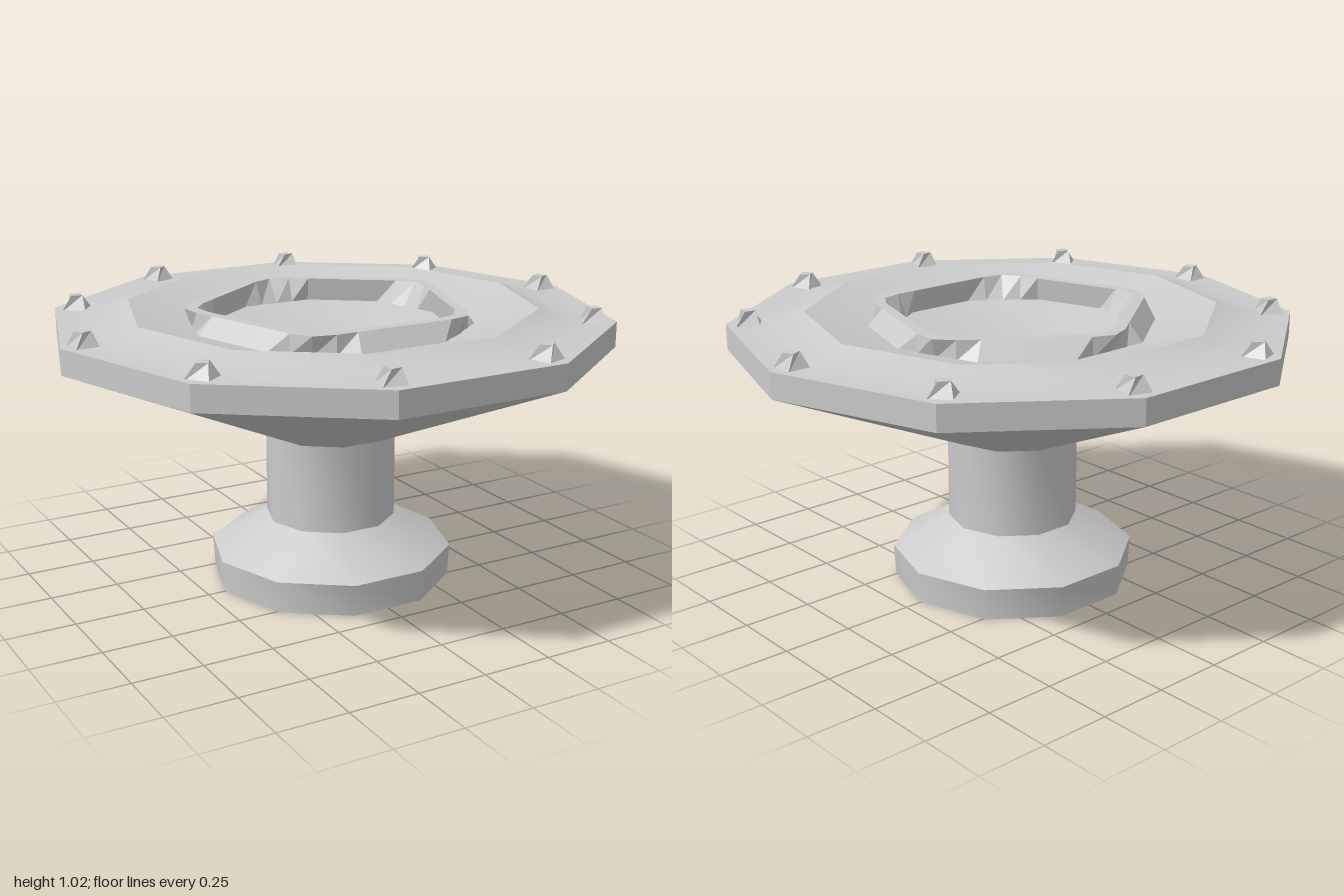
import * as THREE from 'three';
import { toCreasedNormals } from 'three/addons/utils/BufferGeometryUtils.js';

const SIDES = 10;
const smooth = new THREE.MeshStandardMaterial({ color: 0xcccccc, side: THREE.DoubleSide });
const flat = new THREE.MeshStandardMaterial({ color: 0xcccccc, side: THREE.DoubleSide, flatShading: true });

function part(name, geometry, material) {
  const mesh = new THREE.Mesh(geometry, material);
  mesh.name = name;
  return mesh;
}

// Ten-sided turned part with corners on the x axis
function turned(name, profile, creaseAngle) {
  const points = profile.map(([r, y]) => new THREE.Vector2(r, y));
  const geometry = new THREE.LatheGeometry(points, SIDES, Math.PI / 2);
  return part(name, toCreasedNormals(geometry, creaseAngle), smooth);
}

// Distance from the centre to the edge of a regular polygon at an angle
function polygonRadius(angle, sides, apothem, firstCorner) {
  const step = (2 * Math.PI) / sides;
  const a = (((angle - firstCorner) % step) + step) % step;
  return apothem / Math.cos(a - step / 2);
}

// Raised collar: ten-sided at the foot, a blunted pentagon at the top
function collarGeometry() {
  const count = 40;
  const ten = (a, r) => polygonRadius(a, SIDES, r * Math.cos(Math.PI / SIDES), 0);
  const five = (a, apothem, max) => Math.min(max, polygonRadius(a, 5, apothem, -Math.PI / 2));
  const loops = [
    [0.945, a => ten(a, 0.515)],
    [1.015, a => five(a, 0.435, 0.515)],
    [1.015, a => five(a, 0.398, 0.47)],
    [0.93, a => ten(a, 0.43)],
  ];
  const positions = [];
  const indices = [];
  loops.forEach(([y, radius], k) => {
    for (let i = 0; i < count; i++) {
      const a = (i / count) * Math.PI * 2;
      const r = radius(a);
      positions.push(r * Math.cos(a), y, r * Math.sin(a));
      if (k === loops.length - 1) continue;
      const j = (i + 1) % count;
      const p = k * count + i, q = k * count + j;
      indices.push(p, p + count, q, q, p + count, q + count);
    }
  });
  const geometry = new THREE.BufferGeometry();
  geometry.setAttribute('position', new THREE.Float32BufferAttribute(positions, 3));
  geometry.setIndex(indices);
  return geometry;
}

// Small four-sided stud whose top is twisted against its base
function studGeometry() {
  const geometry = new THREE.CylinderGeometry(0.028, 0.064, 0.06, 4);
  geometry.rotateY(Math.PI / 4);
  const pos = geometry.attributes.position;
  const v = new THREE.Vector3();
  const up = new THREE.Vector3(0, 1, 0);
  for (let i = 0; i < pos.count; i++) {
    v.fromBufferAttribute(pos, i);
    if (v.y > 0) v.applyAxisAngle(up, 0.45);
    pos.setXYZ(i, v.x, v.y, v.z);
  }
  return geometry;
}

export function createModel() {
  const model = new THREE.Group();
  model.name = 'pedestalDish';

  // Hollow foot and column, open underneath
  model.add(turned('foot', [[0.435, 0], [0.442, 0.115], [0.235, 0.23]], 0.7));
  model.add(turned('column', [[0.235, 0.23], [0.235, 0.55]], 0.7));

  // Wide dish: cone underside, rim, raised lip and shallow basin
  model.add(turned('dish', [
    [0.235, 0.55], [1, 0.88], [1, 0.97], [0.85, 0.97],
    [0.73, 1.01], [0.27, 0.89], [0, 0.89],
  ], 0.5));

  model.add(part('collar', collarGeometry(), flat));

  // One stud near each corner of the rim
  const studs = new THREE.Group();
  studs.name = 'studs';
  const geometry = studGeometry();
  for (let i = 0; i < SIDES; i++) {
    const a = (i / SIDES) * Math.PI * 2;
    const stud = part('stud', geometry, flat);
    stud.position.set(0.92 * Math.cos(a), 0.99, -0.92 * Math.sin(a));
    stud.rotation.y = a;
    studs.add(stud);
  }
  model.add(studs);
  return model;
}
